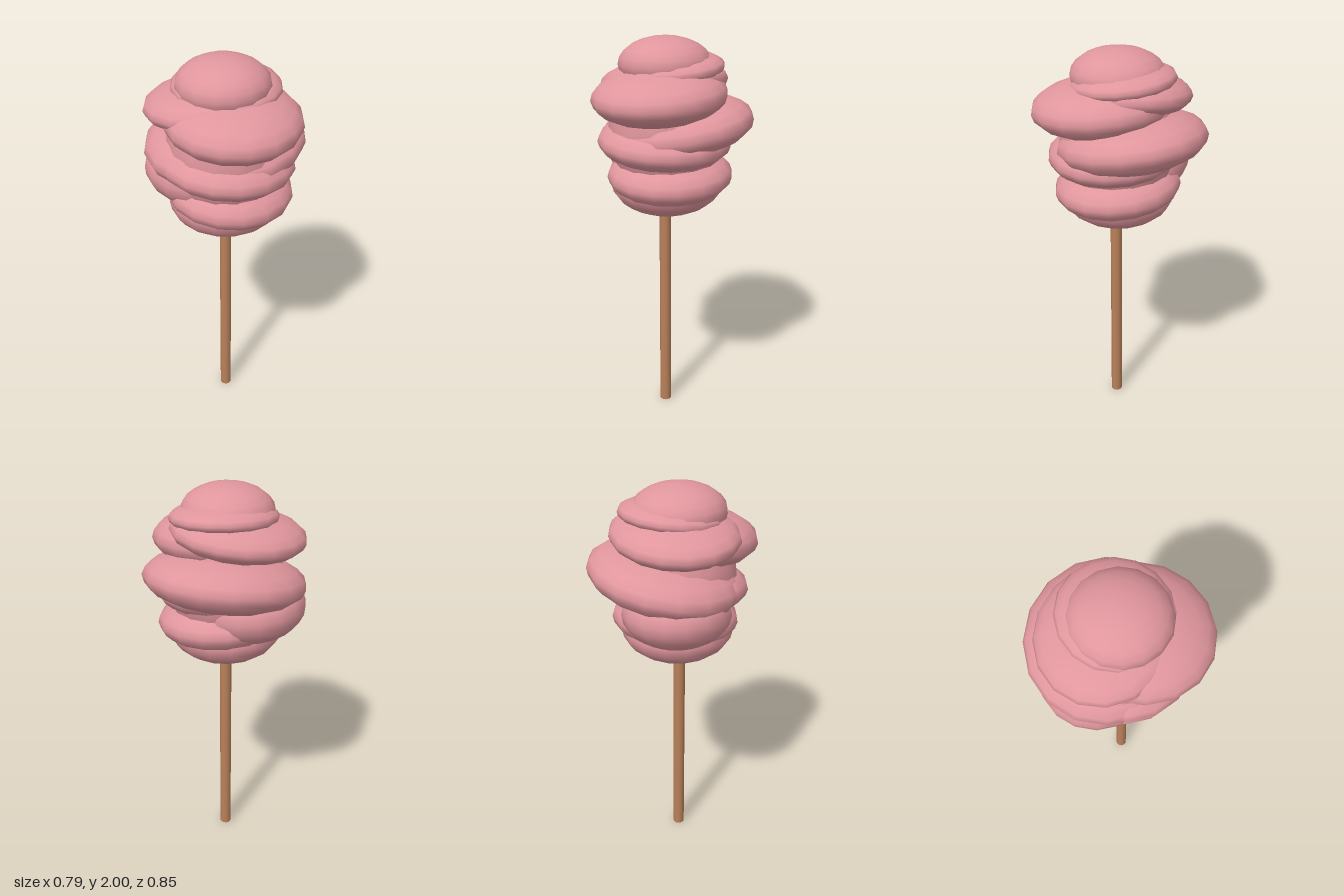
import * as THREE from 'three';

export function createModel() {
  const group = new THREE.Group();
  const floss = new THREE.MeshStandardMaterial({ color: 0xe0969d });
  floss.name = 'pink floss';
  const wood = new THREE.MeshStandardMaterial({ color: 0xb9815a });
  wood.name = 'stick wood';

  // Stick, running up into the floss
  const stick = new THREE.Mesh(new THREE.CylinderGeometry(0.03, 0.03, 1.3, 12), wood);
  stick.name = 'stick';
  stick.position.set(-0.013, 0.65, 0.02);
  group.add(stick);

  // Floss: squashed, tilted puffs wrapped over each other
  // [name, centre, radii, tilt about x, tilt about z]
  const puffs = [
    ['core', [-0.01, 1.55, 0.01], [0.29, 0.36, 0.29], 0, 0],
    ['bottomPuff', [-0.01, 1.28, 0.01], [0.28, 0.16, 0.28], 0, 0],
    ['lowerFold', [0.01, 1.33, 0.01], [0.315, 0.13, 0.315], 0.08, -0.04],
    ['lowerSidePuff', [-0.13, 1.42, -0.07], [0.265, 0.17, 0.265], 0.05, -0.1],
    ['middleFrontFold', [-0.01, 1.5, 0.03], [0.335, 0.125, 0.325], 0.05, -0.06],
    ['middleBackFold', [0, 1.56, -0.06], [0.395, 0.145, 0.37], 0.13, 0.1],
    ['upperFrontFold', [0.01, 1.73, 0.09], [0.325, 0.135, 0.335], 0.08, 0],
    ['upperSideFold', [-0.065, 1.78, -0.04], [0.325, 0.105, 0.302], -0.04, 0.1],
    ['capFold', [0, 1.85, -0.015], [0.26, 0.075, 0.256], 0.1, 0],
    ['cap', [-0.02, 1.87, 0.01], [0.225, 0.13, 0.23], 0, 0],
  ];
  const ball = new THREE.SphereGeometry(1, 16, 12);
  puffs.forEach(([name, centre, radii, tiltX, tiltZ]) => {
    const puff = new THREE.Mesh(ball, floss);
    puff.name = name;
    puff.position.set(...centre);
    puff.scale.set(...radii);
    puff.rotation.set(tiltX, 0, tiltZ);
    group.add(puff);
  });

  return group;
}
